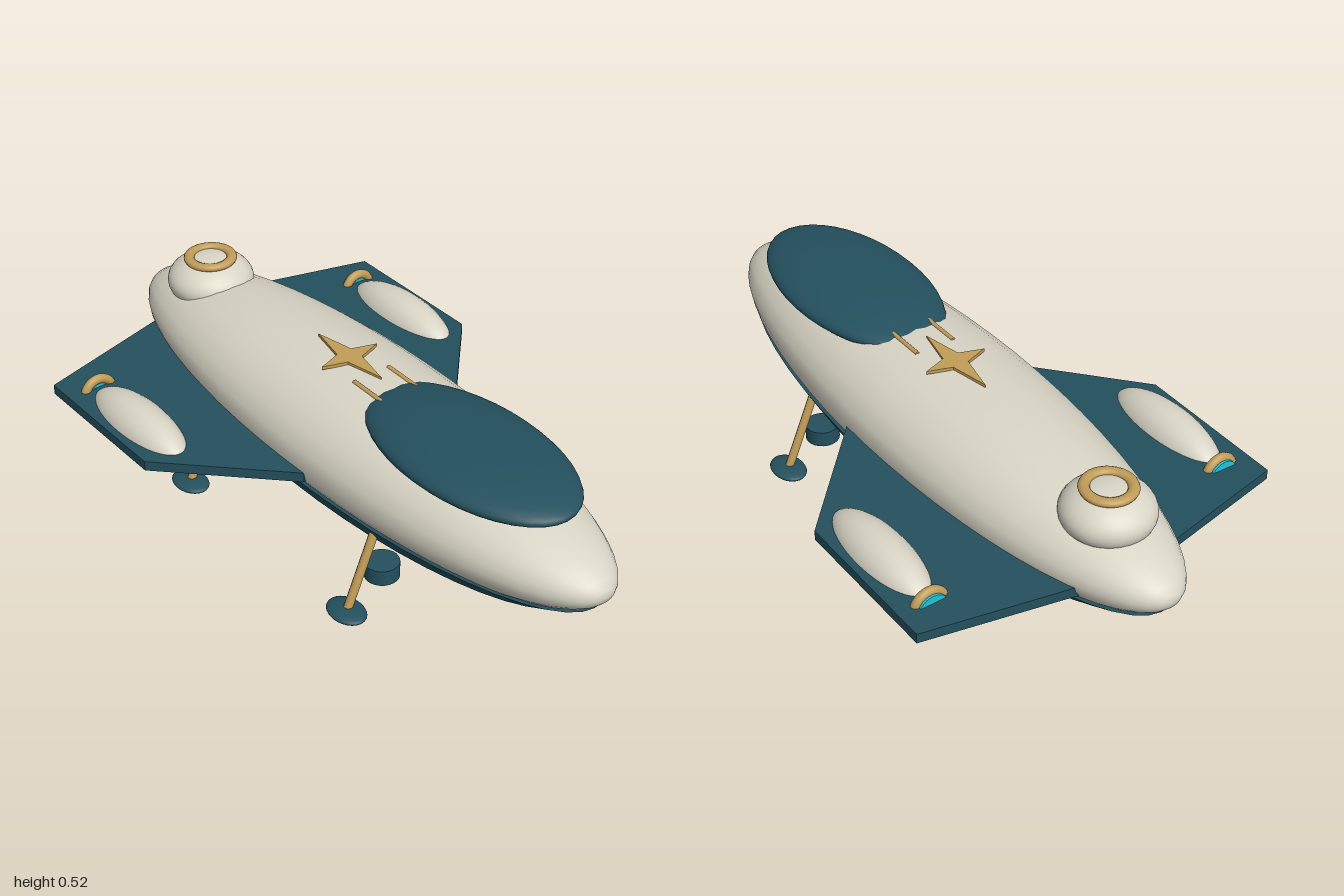
import * as THREE from 'three';

const mat = (color) => new THREE.MeshStandardMaterial({ color });

export function createModel() {
  const cream = mat(0xd9d5c6), teal = mat(0x24505e), gold = mat(0xc29d58), cyan = mat(0x22c3d6);
  const model = new THREE.Group();

  const add = (name, geometry, material, x = 0, y = 0, z = 0) => {
    const mesh = new THREE.Mesh(geometry, material);
    mesh.name = name;
    mesh.position.set(x, y, z);
    model.add(mesh);
    return mesh;
  };
  // Ellipsoid with its poles on the z axis
  const ellipsoid = (rx, ry, rz, w = 32, h = 24) =>
    new THREE.SphereGeometry(1, w, h).rotateX(Math.PI / 2).scale(rx, ry, rz);
  // Round bar between two points
  const bar = (name, a, b, r, material) => {
    const dir = b.clone().sub(a);
    const mesh = add(name, new THREE.CylinderGeometry(r, r, dir.length(), 10), material);
    mesh.position.copy(a).add(b).multiplyScalar(0.5);
    mesh.quaternion.setFromUnitVectors(new THREE.Vector3(0, 1, 0), dir.normalize());
  };
  // Flat outline in x and z, with its top face at y = 0
  const plate = (points, depth) => {
    const shape = new THREE.Shape(points.map(([x, z]) => new THREE.Vector2(x, z)));
    return new THREE.ExtrudeGeometry(shape, { depth, bevelEnabled: false }).rotateX(Math.PI / 2);
  };

  // Hull and the belt around its lower half
  add('hull', ellipsoid(0.275, 0.18, 1, 24, 28), cream, 0, 0.325, 0);
  add('hullBelt', new THREE.CylinderGeometry(1, 0.905, 0.05, 48).scale(0.268, 1, 0.96), teal, 0, 0.24, 0);

  // Cockpit canopy with two rails behind it
  add('canopy', new THREE.SphereGeometry(1, 40, 20).scale(0.2, 0.053, 0.375), teal, 0, 0.476, 0.47);
  for (const s of [-1, 1]) {
    bar('canopyRail', new THREE.Vector3(s * 0.06, 0.498, 0.05), new THREE.Vector3(s * 0.06, 0.496, 0.24), 0.007, gold);
  }

  // Four-pointed star inlay
  const star = [];
  for (let i = 0; i < 8; i++) {
    const a = (i * Math.PI) / 4;
    const tip = i % 2 === 0;
    star.push([Math.cos(a) * (tip ? 0.097 : 0.035), Math.sin(a) * (tip ? 0.142 : 0.035)]);
  }
  add('starInlay', plate(star, 0.01), gold, 0, 0.511, -0.048);

  // Rear dome with its collar
  add('rearDome', new THREE.SphereGeometry(1, 32, 20).scale(0.13, 0.078, 0.13), cream, 0, 0.443, -0.728);
  add('domeCollar', new THREE.TorusGeometry(0.064, 0.016, 10, 32).rotateX(Math.PI / 2).scale(1, 0.7, 1),
    gold, 0, 0.515, -0.726);

  for (const s of [-1, 1]) {
    // Wing, drooping slightly towards the tip
    const wing = plate([[0.1, -0.82], [0.575, -0.71], [0.575, -0.23], [0.27, 0.095], [0.1, 0.095]]
      .map(([x, z]) => [s * x, z]), 0.03);
    const p = wing.attributes.position;
    for (let i = 0; i < p.count; i++) p.setY(i, p.getY(i) + 0.318 - 0.032 * Math.abs(p.getX(i)));
    wing.computeVertexNormals();
    add('wing', wing, teal);

    // Engine pod with nozzle ring and glowing end
    add('enginePod', ellipsoid(0.08, 0.08, 0.215), cream, s * 0.478, 0.277, -0.4);
    add('nozzleRing', new THREE.TorusGeometry(0.045, 0.014, 10, 28), gold, s * 0.478, 0.282, -0.622);
    add('nozzleGlow', new THREE.CylinderGeometry(0.044, 0.044, 0.025, 28).rotateX(Math.PI / 2),
      cyan, s * 0.478, 0.282, -0.63);

    for (const z of [0.35, -0.4]) {
      // Landing leg with foot pad
      bar('landingLeg', new THREE.Vector3(s * 0.22, 0.26, z), new THREE.Vector3(s * 0.32, 0.02, z), 0.013, gold);
      add('footPad', new THREE.SphereGeometry(1, 24, 12).scale(0.049, 0.014, 0.067), teal, s * 0.322, 0.018, z);
      // Lift thruster with glowing underside
      add('liftThruster', new THREE.CylinderGeometry(0.05, 0.05, 0.048, 24), teal, s * 0.2, 0.108, z);
      add('thrusterGlow', new THREE.CylinderGeometry(0.036, 0.036, 0.01, 24), cyan, s * 0.2, 0.082, z);
    }
  }
  return model;
}
